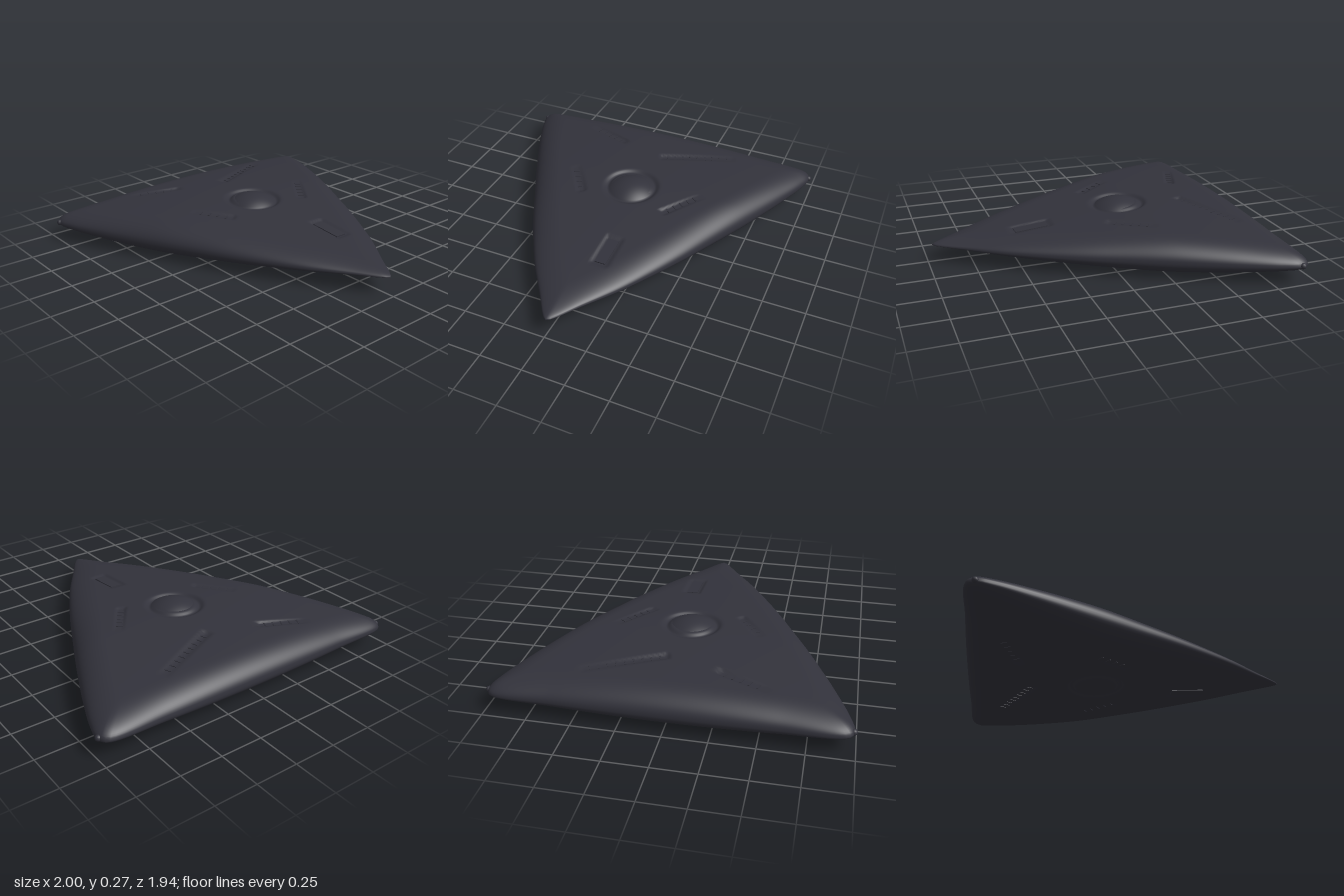
import * as THREE from 'three';

const CX = 0, CZ = -0.19;              // centre of the dome
const SEG = 260, INNER = 20, OUTER = 50;
const INNER_R = 0.21;

// half plan outline, nose to tail
const HALF = [[0, 0.972], [0.03, 0.945], [0.13, 0.8], [0.27, 0.6], [0.39, 0.4], [0.5, 0.2], [0.6, 0],
  [0.7, -0.2], [0.795, -0.4], [0.885, -0.6], [0.965, -0.8], [0.988, -0.9], [0.962, -0.95], [0.6, -0.966], [0, -0.973]];

// recessed slots: start x/z, end x/z, half width, depth
const SLOTS = [
  [0.05, -0.57, 0.5, -0.77, 0.026, 0.013],
  [-0.24, -0.66, -0.52, -0.77, 0.026, 0.013],
  [0.27, -0.02, 0.44, -0.26, 0.026, 0.011],
  [-0.27, -0.03, -0.42, -0.25, 0.026, 0.011],
];
const HATCH = [0.1, 0.28, 0.1, 0.52, 0.052, 0.01];

const smooth = THREE.MathUtils.smoothstep;

// depth of a recess at a point, fading towards its far end
function recess([x0, z0, x1, z1, half, depth], x, z, fade) {
  const len = Math.hypot(x1 - x0, z1 - z0), ux = (x1 - x0) / len, uz = (z1 - z0) / len;
  const u = (x - x0) * ux + (z - z0) * uz;
  const v = Math.abs((x - x0) * uz - (z - z0) * ux);
  const mask = smooth(u, -0.012, 0.012) * (1 - smooth(u, len - 0.012, len + 0.012)) * (1 - smooth(v, half - 0.01, half + 0.01));
  return depth * mask * (fade ? 1 - 0.7 * THREE.MathUtils.clamp(u / len, 0, 1) : 1);
}

// height of the upper (side 1) or lower (side -1) skin; e is the distance to the rim
function skinHeight(x, z, e, side) {
  const rim = 0.104, t = z + 0.3;
  const slope = Math.hypot(t, 0.15) - 0.15;
  const full = side > 0
    ? 0.24 - (t > 0 ? 0.095 * slope : 0.06 * t * t) - 0.05 * x * x
    : (t > 0 ? 0.08 * slope : 0.06 * t * t) + 0.045 * x * x;
  const q = 1 - Math.min(e / (side > 0 ? 0.17 : 0.13), 1);
  const r = Math.hypot(x - CX, z - CZ);
  let dent = 0.018 * Math.exp(-(((r - 0.15) / 0.02) ** 2));
  for (const s of SLOTS) dent += recess(s, x, z, true);
  dent += recess(HATCH, x, z, false);
  return rim + (full - rim) * Math.sqrt(1 - q * q) - side * dent;
}

function makeHull(outline) {
  const distance = (x, z) => {
    let best = 9;
    for (let i = 0; i < SEG; i++) {
      const a = outline[i], b = outline[(i + 1) % SEG], dx = b.x - a.x, dz = b.z - a.z;
      const k = THREE.MathUtils.clamp(((x - a.x) * dx + (z - a.z) * dz) / (dx * dx + dz * dz), 0, 1);
      best = Math.min(best, Math.hypot(x - a.x - k * dx, z - a.z - k * dz));
    }
    return best;
  };
  const upper = [], lower = [], pos = [], index = [];
  // circular rings round the dome, then rings blending out to the rim
  for (let k = 0; k <= INNER + OUTER; k++) {
    const top = [], bottom = [];
    for (const p of outline) {
      const R = Math.hypot(p.x - CX, p.z - CZ);
      const t = 1 - (1 - Math.max(0, k - INNER) / OUTER) ** 1.4;
      const r = k <= INNER ? 0.05 + (INNER_R - 0.05) * k / INNER : INNER_R + (R - INNER_R) * t;
      const x = CX + (p.x - CX) / R * r, z = CZ + (p.z - CZ) / R * r;
      const e = k === INNER + OUTER ? 0 : distance(x, z);
      top.push(x, skinHeight(x, z, e, 1), z);
      bottom.push(x, skinHeight(x, z, e, -1), z);
    }
    upper.push(top);
    if (k < INNER + OUTER) lower.unshift(bottom);
  }
  const rings = [...upper, ...lower];
  for (const ring of rings) pos.push(...ring);
  for (let k = 0; k < rings.length - 1; k++) {
    for (let j = 0; j < SEG; j++) {
      const n = (j + 1) % SEG, a = k * SEG + j, b = k * SEG + n, c = a + SEG, d = b + SEG;
      index.push(a, c, d, a, d, b);
    }
  }
  const geo = new THREE.BufferGeometry();
  geo.setAttribute('position', new THREE.Float32BufferAttribute(pos, 3));
  geo.setIndex(index);
  geo.computeVertexNormals();
  return geo;
}

// shallow spherical cap, open underneath
function makeCap(radius, height) {
  const R = (radius * radius + height * height) / (2 * height);
  return new THREE.SphereGeometry(R, 48, 12, 0, Math.PI * 2, 0, Math.asin(radius / R));
}

export function createModel() {
  const group = new THREE.Group();
  const skin = new THREE.MeshStandardMaterial({ color: 0x32323b });
  skin.name = 'dark grey skin';
  const add = (name, geo, x = 0, y = 0, z = 0) => {
    const mesh = new THREE.Mesh(geo, skin);
    mesh.name = name;
    mesh.position.set(x, y, z);
    group.add(mesh);
    return mesh;
  };

  const points = [...HALF, ...HALF.slice(1, -1).reverse().map(([x, z]) => [-x, z])]
    .map(([x, z]) => new THREE.Vector3(x, 0, z));
  const outline = new THREE.CatmullRomCurve3(points, true, 'centripetal').getSpacedPoints(SEG).slice(0, SEG);
  add('hull', makeHull(outline));

  // upper dome and flush lower lens
  const capCentre = (r, h) => (r * r + h * h) / (2 * h);
  add('upperDome', makeCap(0.14, 0.045), CX, 0.266 - capCentre(0.14, 0.045), CZ);
  add('lowerLens', makeCap(0.14, 0.022), CX, capCentre(0.14, 0.022), CZ).rotation.x = Math.PI;

  // small fittings on the rear corners
  for (const s of [1, -1]) add('cornerFitting', new THREE.SphereGeometry(0.018, 12, 8), s * 0.982, 0.108, -0.905);

  for (const side of [1, -1]) {
    // hatch panel sunk in its recess
    const y = skinHeight(0.1, 0.4, 0.3, side);
    add('hatchPanel', new THREE.BoxGeometry(0.068, 0.008, 0.2), 0.1, y + side * 0.001, 0.4).rotation.x = side * 0.085;
    // ribs across the slots
    for (const [x0, z0, x1, z1, half] of SLOTS) {
      const count = Math.round(Math.hypot(x1 - x0, z1 - z0) / 0.05);
      for (let i = 1; i < count; i++) {
        const k = i / count, x = x0 + (x1 - x0) * k, z = z0 + (z1 - z0) * k;
        const rib = add('slotRib', new THREE.BoxGeometry(0.01, 0.006, half * 1.5), x, skinHeight(x, z, 0.2, side), z);
        rib.rotation.y = -Math.atan2(z1 - z0, x1 - x0);
      }
    }
  }
  return group;
}
